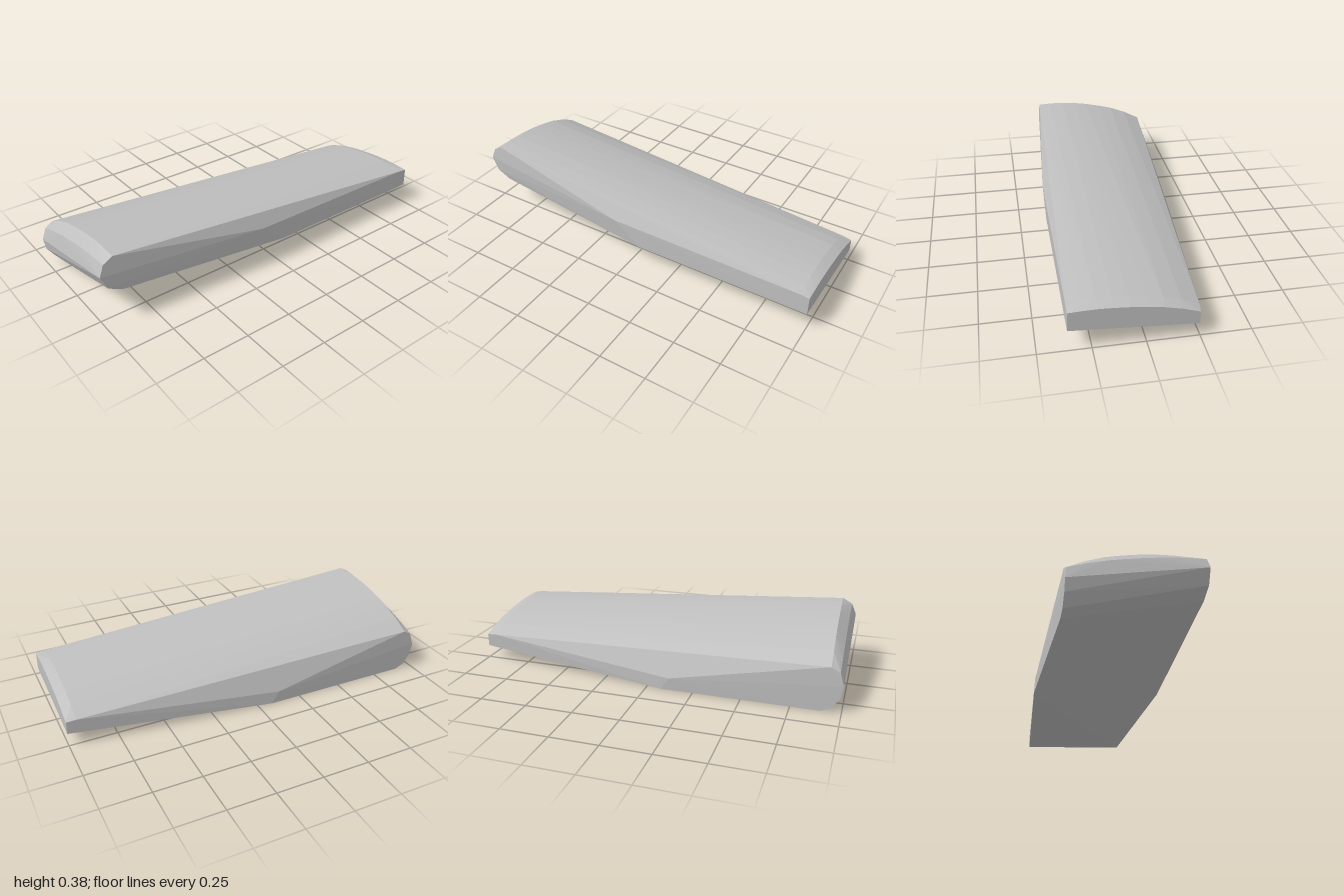
import * as THREE from 'three';
import { ConvexGeometry } from 'three/addons/geometries/ConvexGeometry.js';

export function createModel() {
  const model = new THREE.Group();
  const grey = new THREE.MeshStandardMaterial({ color: 0xbfbfbf });
  grey.name = 'grey';
  const points = [];
  const add = (x, y, z) => points.push(new THREE.Vector3(x, y, z));

  // A crosswise row from the right edge to the left edge, arched upwards in the middle
  const arch = [[0, 0], [0.14, 0.58], [0.28, 0.92], [0.4, 1], [0.54, 1], [0.66, 0.9], [0.78, 0.7], [0.9, 0.36], [1, 0]];
  const addRow = (a, b, rise) => {
    for (const [t, k] of arch) {
      add(a[0] + (b[0] - a[0]) * t, a[1] + (b[1] - a[1]) * t + rise * k, a[2] + (b[2] - a[2]) * t);
    }
  };

  // Rounded thick front end, top to bottom
  addRow([-0.358, 0.235, 0.935], [0.295, 0.378, 0.925], 0.048);
  addRow([-0.355, 0.21, 0.98], [0.295, 0.35, 0.975], 0.024);
  addRow([-0.362, 0.145, 1], [0.3, 0.29, 1], 0);
  addRow([-0.362, 0.08, 0.99], [0.3, 0.215, 0.965], 0);
  add(-0.362, 0.022, 0.95);
  add(-0.362, 0, 0.9);
  add(0.3, 0.177, 0.89);

  // Widest point of each long side
  add(-0.363, 0.065, 0.12);
  add(-0.362, 0, 0.08);
  add(0.36, 0.23, 0.1);
  add(0.36, 0.113, -0.05);

  // Thin back end with a small bevel along its top
  addRow([-0.253, 0.143, -0.95], [0.358, 0.218, -0.95], 0.042);
  addRow([-0.247, 0.137, -1], [0.358, 0.212, -1], 0.03);
  add(-0.247, 0.07, -1);
  add(0.36, 0.113, -1);
  add(-0.06, 0.07, -0.86);

  const body = new THREE.Mesh(new ConvexGeometry(points), grey);
  body.name = 'taperedSlab';
  model.add(body);
  return model;
}
